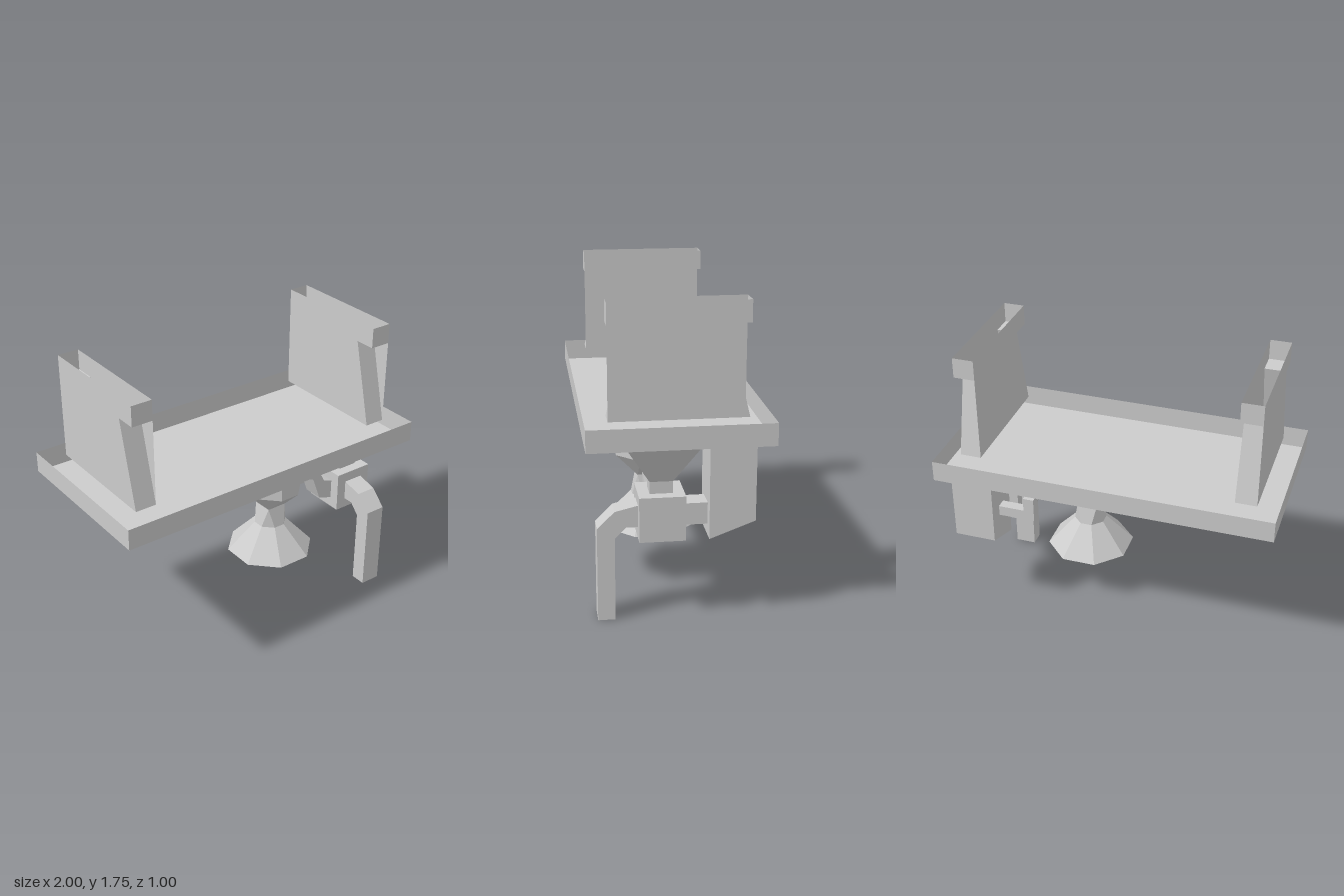
import * as THREE from 'three';

const material = new THREE.MeshStandardMaterial({ color: 0xcccccc, flatShading: true, side: THREE.DoubleSide });

function part(name, geometry, x = 0, y = 0, z = 0) {
  const mesh = new THREE.Mesh(geometry, material);
  mesh.name = name;
  mesh.position.set(x, y, z);
  return mesh;
}

// Box given by its lower and upper corners
function box(name, [x0, y0, z0], [x1, y1, z1]) {
  return part(name, new THREE.BoxGeometry(x1 - x0, y1 - y0, z1 - z0),
    (x0 + x1) / 2, (y0 + y1) / 2, (z0 + z1) / 2);
}

// Skin over successive cross-sections; optional fans close the ends
function loft(rings, { closed = true, capStart = false, capEnd = false } = {}) {
  const pos = [];
  const tri = (...pts) => pts.forEach((p) => pos.push(...p));
  const n = rings[0].length;
  for (let r = 0; r < rings.length - 1; r++) {
    const a = rings[r], b = rings[r + 1];
    for (let i = 0; i < (closed ? n : n - 1); i++) {
      const j = (i + 1) % n;
      tri(a[i], a[j], b[i]);
      tri(a[j], b[j], b[i]);
    }
  }
  const cap = (ring, flip) => {
    for (let i = 1; i < n - 1; i++) {
      if (flip) tri(ring[0], ring[i], ring[i + 1]);
      else tri(ring[0], ring[i + 1], ring[i]);
    }
  };
  if (capStart) cap(rings[0], false);
  if (capEnd) cap(rings[rings.length - 1], true);
  const g = new THREE.BufferGeometry();
  g.setAttribute('position', new THREE.Float32BufferAttribute(pos, 3));
  g.computeVertexNormals();
  return g;
}

// Eight-cornered ring; a === b gives a square
function ring(a, b, y) {
  return [[a, b], [b, a], [-b, a], [-a, b], [-a, -b], [-b, -a], [b, -a], [a, -b]].map(([x, z]) => [x, y, z]);
}

const shapeOf = (pts) => new THREE.Shape(pts.map(([x, y]) => new THREE.Vector2(x, y)));

// Outline extruded about its own plane
function slab(pts, depth) {
  return new THREE.ExtrudeGeometry(shapeOf(pts), { depth, bevelEnabled: false }).translate(0, 0, -depth / 2);
}

// Hollow upright: two identical halves, each a side wall and a stepped end
function createUpright(name, x) {
  const upright = new THREE.Group();
  upright.name = name;
  upright.position.x = x;
  const wall = [[0.375, 1.125], [0.375, 1.75], [-0.375, 1.75], [-0.375, 1.63], [-0.25, 1.63], [-0.375, 1.125]];
  const end = [[0.375, 1.75], [0.375, 1.63], [0.25, 1.63], [0.375, 1.125]];
  for (const turn of [0, Math.PI]) {
    const half = new THREE.Group();
    half.name = 'uprightHalf';
    half.rotation.y = turn;
    half.add(part('sideWall', new THREE.ShapeGeometry(shapeOf(wall)).rotateY(-Math.PI / 2), 0.0625));
    const edges = [-0.0625, 0.0625].map((ex) => end.map(([z, y]) => [ex, y, z]));
    half.add(part('endWall', loft(edges, { closed: false })));
    upright.add(half);
  }
  return upright;
}

export function createModel() {
  const model = new THREE.Group();
  model.name = 'model';
  const Z = 0.095; // depth of the bell, pipe and valve axis
  const VX = 0.8125; // sideways position of the valve

  // Shallow open tray
  const rim = (y) => [[1, y, 0.5], [-1, y, 0.5], [-1, y, -0.5], [1, y, -0.5]];
  model.add(part('tray', loft([rim(1.125), rim(1)], { capEnd: true })));

  // Uprights on the tray
  model.add(createUpright('leftUpright', VX), createUpright('rightUpright', -VX));

  // Faceted ball, neck and hollow bell
  model.add(part('ballAndBell', loft([
    ring(0.0625, 0.0625, 1), ring(0.1875, 0.0625, 0.875), ring(0.1875, 0.0625, 0.75),
    ring(0.0625, 0.0625, 0.625), ring(0.0925, 0.035, 0.5), ring(0.2475, 0.1025, 0.317),
    ring(0.195, 0.081, 0.317), ring(0.06, 0.025, 0.46),
  ], { capStart: true, capEnd: true }), 0.25, 0, Z));

  // Bent pipe from ball to valve
  model.add(part('pipe', slab([
    [0.4375, 0.875], [0.556, 0.81], [0.625, 0.68], [0.69, 0.657],
    [0.69, 0.533], [0.594, 0.563], [0.535, 0.72], [0.4375, 0.75],
  ], 0.125), 0, 0, Z));

  // Funnel and valve body
  model.add(part('funnel', loft([
    ring(0.1875, 0.1875, 1), ring(0.0625, 0.0625, 0.787), ring(0.0625, 0.0625, 0.72),
  ]), VX, 0, Z));
  model.add(box('valve', [VX - 0.125, 0.47, Z - 0.125], [VX + 0.125, 0.72, Z + 0.125]));

  // Bent leg in front of the valve
  const leg = slab([
    [0.22, 0.657], [0.345, 0.627], [0.44, 0.533], [0.44, 0],
    [0.345, 0], [0.345, 0.472], [0.285, 0.535], [0.22, 0.535],
  ], 0.125).rotateY(-Math.PI / 2);
  model.add(part('leg', leg, VX));

  // Connector and tank behind the valve
  model.add(box('connector', [0.75, 0.535, -0.155], [0.875, 0.657, -0.03]));
  const tank = slab([[-0.155, 1], [-0.155, 0.472], [-0.405, 0.565], [-0.405, 1]], 0.25).rotateY(-Math.PI / 2);
  model.add(part('tank', tank, VX));

  // Upturned spout on the tank, with a small plate above it
  model.add(part('spout', slab([
    [0.69, 0.755], [0.53, 0.755], [0.53, 0.84], [0.465, 0.84], [0.465, 0.692], [0.69, 0.692],
  ], 0.0625), 0, 0, -0.28));
  model.add(box('smallPlate', [0.407, 0.97, -0.373], [0.593, 1, -0.187]));

  return model;
}
